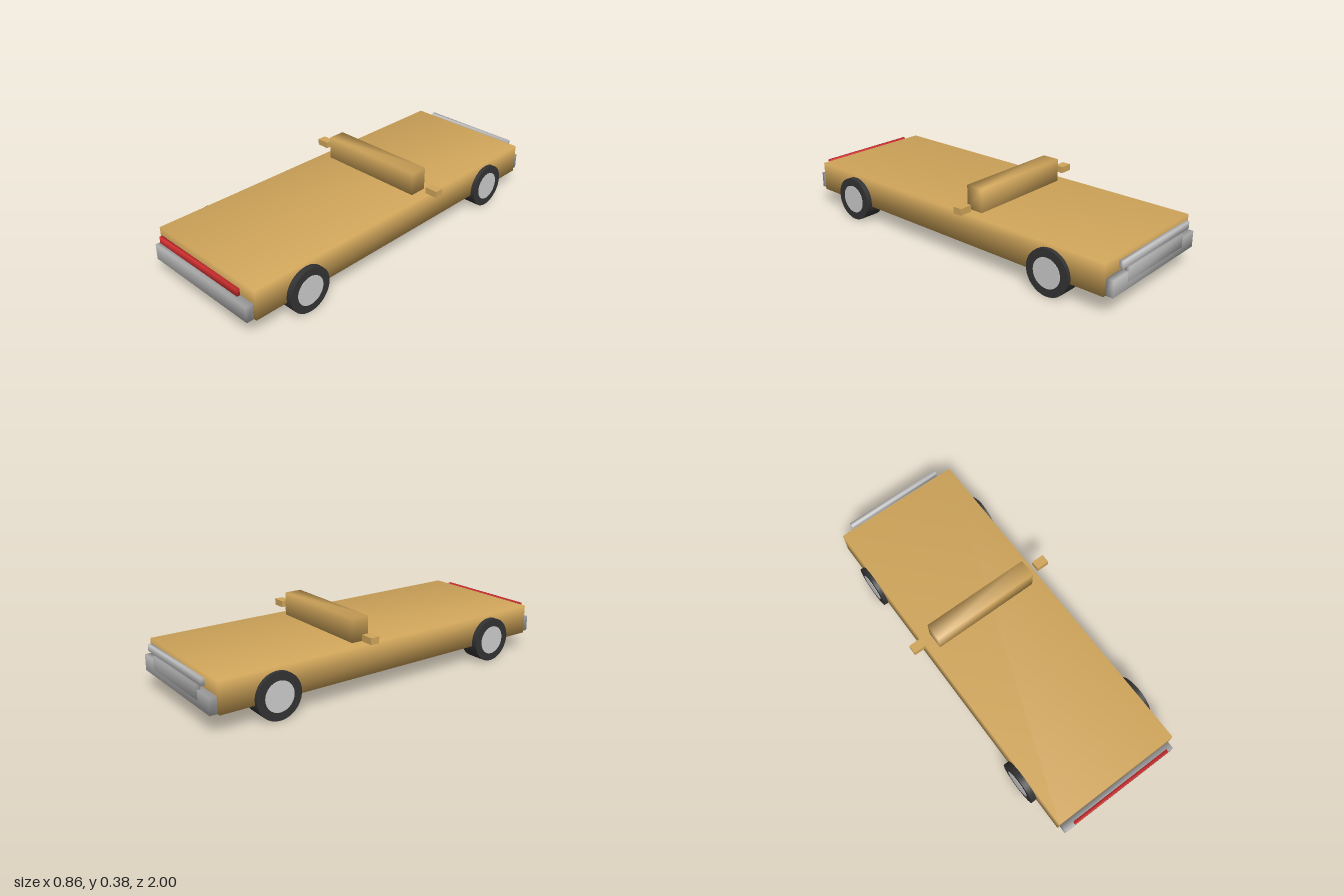
import * as THREE from 'three';
import { mergeVertices } from 'three/addons/utils/BufferGeometryUtils.js';

const mat = (color) => new THREE.MeshStandardMaterial({ color });

// Box given by its min and max corners; soft boxes share normals across edges
function box(name, [x0, y0, z0], [x1, y1, z1], material, soft = true) {
  let geo = new THREE.BoxGeometry(x1 - x0, y1 - y0, z1 - z0);
  if (soft) {
    geo.deleteAttribute('normal');
    geo.deleteAttribute('uv');
    geo = mergeVertices(geo);
    geo.computeVertexNormals();
  }
  const mesh = new THREE.Mesh(geo, material);
  mesh.name = name;
  mesh.position.set((x0 + x1) / 2, (y0 + y1) / 2, (z0 + z1) / 2);
  return mesh;
}

// Tyre with a pale hub disc on its outer face
function wheel(name, side, outerX, z, tyreMat, hubMat) {
  const radius = 0.117, width = 0.107;
  const group = new THREE.Group();
  group.name = name;
  const tyre = new THREE.Mesh(new THREE.CylinderGeometry(radius, radius, width, 40), tyreMat);
  tyre.name = 'tyre';
  const hub = new THREE.Mesh(new THREE.CylinderGeometry(0.076, 0.076, 0.01, 40), hubMat);
  hub.name = 'hub';
  hub.position.y = width / 2 - 0.003;
  group.add(tyre, hub);
  group.rotation.z = -side * Math.PI / 2;
  group.position.set(side * (outerX - width / 2), radius, z);
  return group;
}

export function createModel() {
  const car = new THREE.Group();
  car.name = 'car';
  const paint = mat(0xd0a55a), grey = mat(0xb4b4b4), red = mat(0xdd3333);
  const white = mat(0xeeeeee), rubber = mat(0x333333), hubMat = mat(0xcccccc);

  // Body slab and the raised bar across it
  car.add(box('body', [-0.355, 0.095, -0.956], [0.355, 0.253, 0.956], paint));
  car.add(box('crossBar', [-0.299, 0.253, -0.21], [0.299, 0.375, -0.115], paint));

  // Bumpers, light bars and rear plate
  car.add(box('frontBumper', [-0.342, 0.098, 0.958], [0.342, 0.181, 0.998], grey));
  car.add(box('frontLightBar', [-0.291, 0.213, 0.984], [0.291, 0.248, 1], red));
  car.add(box('rearBumper', [-0.342, 0.098, -0.996], [0.342, 0.181, -0.958], grey));
  car.add(box('rearLightBar', [-0.282, 0.216, -1], [0.282, 0.25, -0.98], white));
  car.add(box('rearPlate', [-0.23, 0.135, -1], [0.23, 0.205, -0.978], grey));

  // Mirrors and wheels on both sides
  for (const side of [1, -1]) {
    const label = side > 0 ? 'Left' : 'Right';
    const mirror = box(`mirror${label}`, [0.36, 0.276, -0.196], [0.429, 0.31, -0.148], paint, false);
    mirror.position.x *= side;
    car.add(mirror);
    car.add(wheel(`frontWheel${label}`, side, 0.385, 0.667, rubber, hubMat));
    car.add(wheel(`rearWheel${label}`, side, 0.376, -0.667, rubber, hubMat));
  }
  return car;
}
